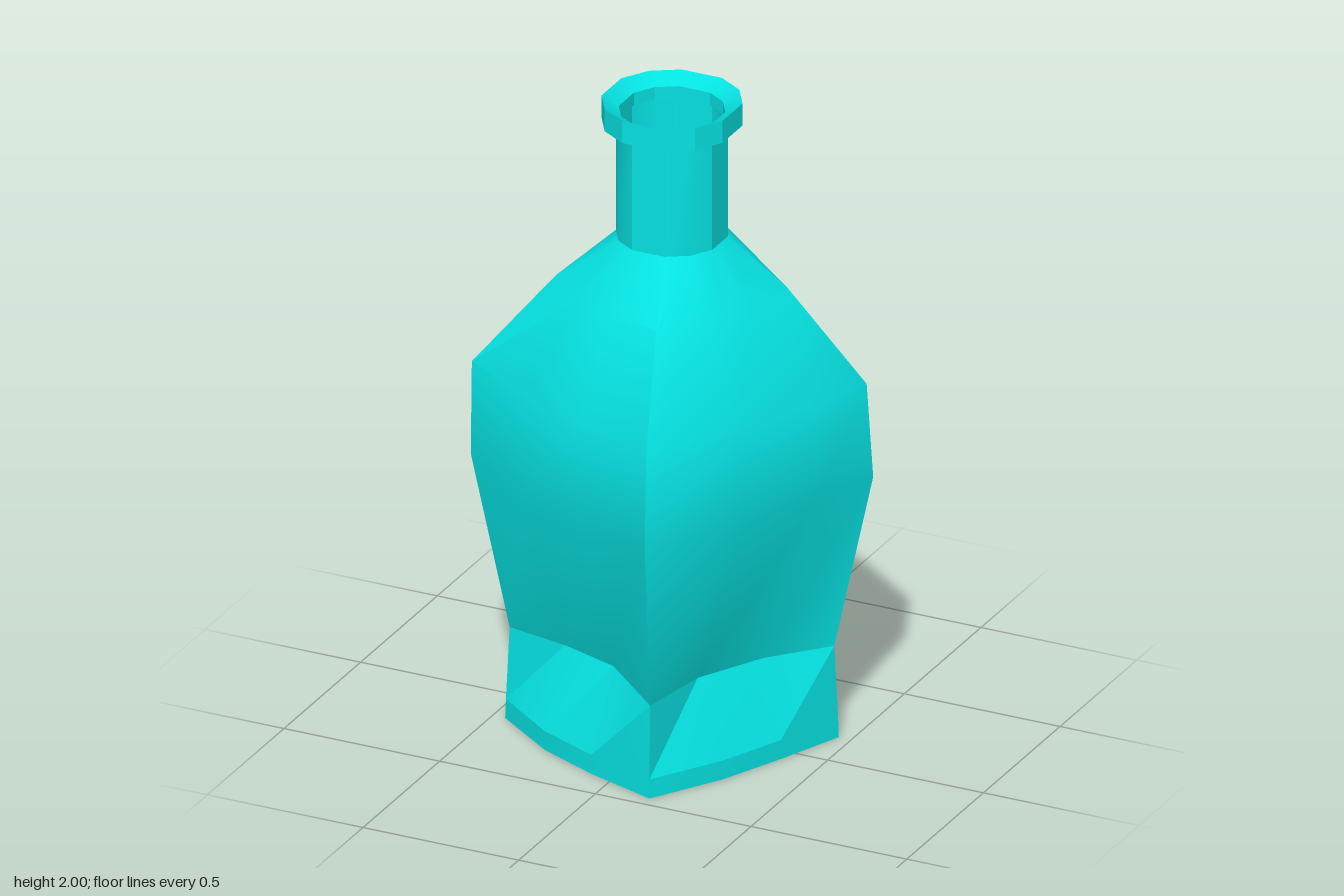
import * as THREE from 'three';
import { mergeVertices, toCreasedNormals } from 'three/addons/utils/BufferGeometryUtils.js';

const RAD = Math.PI / 180;
const CORNER = 71.5; // direction of the first body corner, measured from +x towards +z

// Two points between the corners of each side, as [degrees past the corner, radius];
// sides run right, back, left, front. A single pair is shared by all sides.
const BELLY = [
  [[34.6, 0.45], [68, 0.481]],
  [[30, 0.482], [54.7, 0.486]],
  [[30, 0.432], [59.7, 0.44]],
  [[31.5, 0.469], [61.5, 0.457]],
];
const WAIST = [
  [[22.5, 0.29], [68.5, 0.3]],
  [[24, 0.32], [62, 0.3]],
  [[22, 0.3], [64, 0.29]],
  [[18.5, 0.314], [57.5, 0.262]],
];
const FOOT = [
  [[30.5, 0.38], [63.5, 0.379]],
  [[29, 0.4], [57.6, 0.42]],
  [[30, 0.37], [61, 0.375]],
  [[30, 0.397], [61, 0.39]],
];
const SHOULDER = [[[30, 0.287], [60, 0.287]]];

// 12-point ring: four corners (front, right, back, left) with two points between each pair
function ring(y, corners, sides, scale = 1) {
  const pts = [];
  for (let s = 0; s < 4; s++) {
    const side = sides[s % sides.length].map(([d, r]) => [d, r * scale]);
    [[0, corners[s % corners.length]], ...side].forEach(([d, r]) => {
      const a = (CORNER - 90 * s - d) * RAD;
      pts.push([r * Math.cos(a), y, r * Math.sin(a)]);
    });
  }
  return pts;
}

const roundRing = (y, r) => ring(y, [r], [[[26.5, r], [53, r]]]);

// Skin a list of rings from bottom to top
function loft(name, rings, material, crease) {
  const n = 12;
  const index = [];
  for (let i = 0; i < rings.length - 1; i++) {
    for (let j = 0; j < n; j++) {
      const k = (j + 1) % n;
      const a = i * n + j, b = i * n + k, c = a + n, d = b + n;
      index.push(a, b, d, a, d, c);
    }
  }
  const geo = new THREE.BufferGeometry();
  geo.setAttribute('position', new THREE.Float32BufferAttribute(rings.flat(2), 3));
  geo.setIndex(index);
  const mesh = new THREE.Mesh(toCreasedNormals(mergeVertices(geo), crease), material);
  mesh.name = name;
  return mesh;
}

// Flat underside, fanned from the centre
function floorPlate(rim, y, material) {
  const index = rim.flatMap((_, j) => [12, (j + 1) % 12, j]);
  const geo = new THREE.BufferGeometry();
  geo.setAttribute('position', new THREE.Float32BufferAttribute([...rim, [0, y, 0]].flat(), 3));
  geo.setIndex(index);
  geo.computeVertexNormals();
  const mesh = new THREE.Mesh(geo, material);
  mesh.name = 'base';
  return mesh;
}

export function createModel() {
  const bottle = new THREE.Group();
  bottle.name = 'bottle';
  const glass = new THREE.MeshStandardMaterial({ color: 0x06e2e2, side: THREE.DoubleSide });

  // Base plate set slightly up inside the foot
  const baseRim = ring(0.03, [0.45], FOOT, 0.93);
  bottle.add(floorPlate(baseRim, 0.03, glass));

  // Foot: bevelled underside, upright band, then sides pinched in towards the waist
  bottle.add(loft('foot', [
    baseRim,
    ring(0, [0.485], FOOT),
    ring(0.06, [0.483], FOOT),
    ring(0.29, [0.472], WAIST),
  ], glass, 0.3));

  // Swelling body and sloping shoulder
  bottle.add(loft('body', [
    ring(0.29, [0.472], WAIST),
    ring(0.835, [0.585], BELLY),
    ring(1.13, [0.558, 0.566, 0.582, 0.582], BELLY, 0.97),
    ring(1.42, [0.337], SHOULDER),
    roundRing(1.575, 0.163),
  ], glass, 0.55));

  // Neck
  bottle.add(loft('neck', [roundRing(1.575, 0.163), roundRing(1.93, 0.163)], glass, 0.5));

  // Lip with a mouth that slopes inwards
  bottle.add(loft('lip', [
    roundRing(1.93, 0.163),
    roundRing(1.93, 0.205),
    roundRing(2, 0.205),
    roundRing(1.97, 0.155),
    roundRing(1.93, 0.155),
  ], glass, 0.45));

  return bottle;
}
